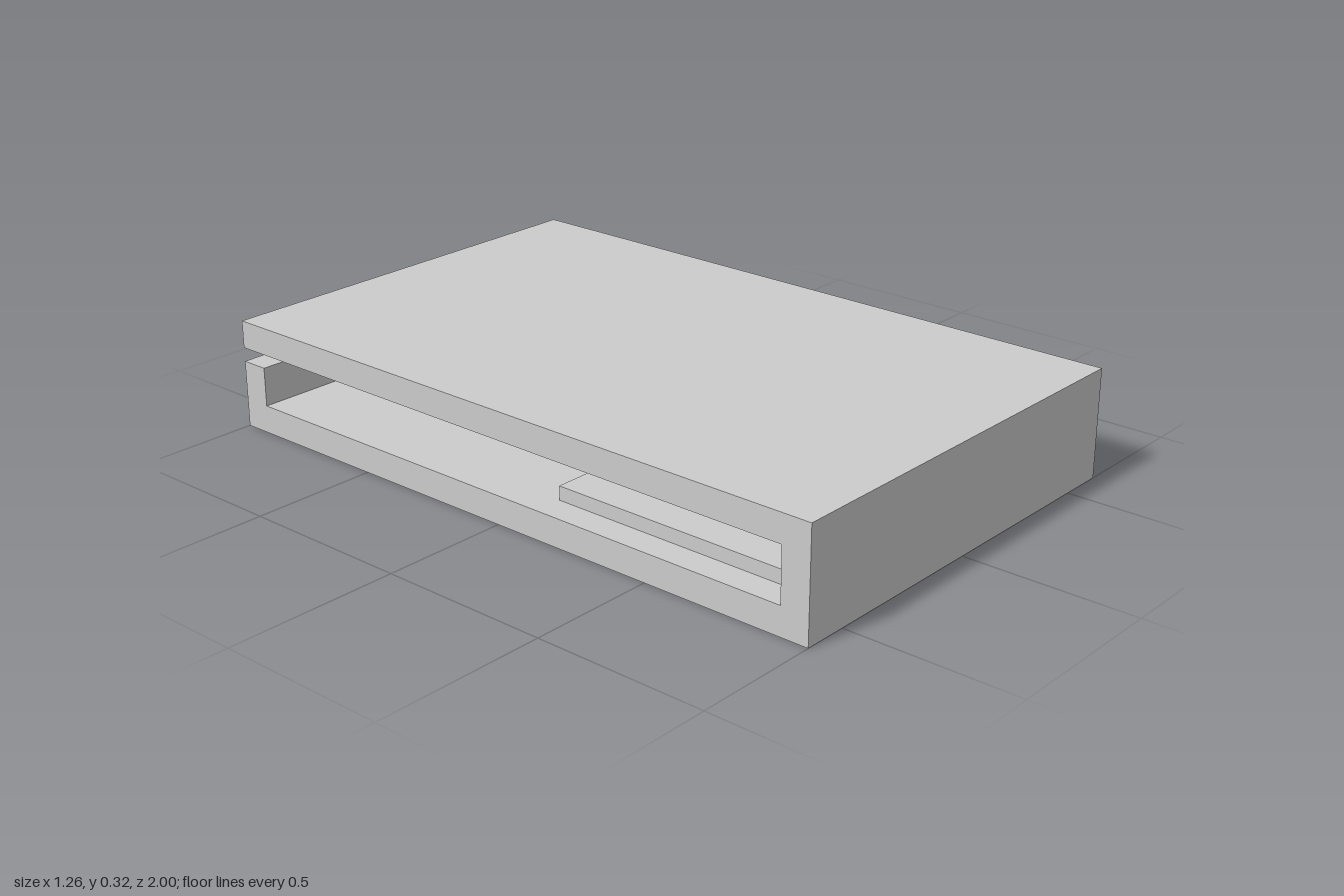
import * as THREE from 'three';

const W = 0.63, D = 1;          // half width, half depth of the case
const IX = 0.547, IZ = 0.917;   // inner faces of the side and end walls
const Y = { floor: 0.082, slot: 0.196, roof: 0.237, top: 0.317 };
const SCREEN = { x: 0.53, z0: 0.155, z1: 0.89 };

const grey = new THREE.MeshStandardMaterial({ color: 0xcccccc });
const glass = new THREE.MeshStandardMaterial({ color: 0xa2dee7 });

// Horizontal layer: [x, z] outline raised from y0 to y1
function layer(name, outline, y0, y1, holes = []) {
  const toPoints = (list) => list.map(([x, z]) => new THREE.Vector2(x, -z));
  const shape = new THREE.Shape(toPoints(outline));
  holes.forEach((h) => shape.holes.push(new THREE.Path(toPoints(h))));
  const geo = new THREE.ExtrudeGeometry(shape, { depth: y1 - y0, bevelEnabled: false });
  geo.rotateX(-Math.PI / 2).translate(0, y0, 0);
  const mesh = new THREE.Mesh(geo, grey);
  mesh.name = name;
  return mesh;
}

const rect = (x0, x1, z0, z1) => [[x0, z0], [x1, z0], [x1, z1], [x0, z1]];

function block(name, x, y0, y1, z0, z1, material) {
  const mesh = new THREE.Mesh(new THREE.BoxGeometry(2 * x, y1 - y0, z1 - z0), material);
  mesh.position.set(0, (y0 + y1) / 2, (z0 + z1) / 2);
  mesh.name = name;
  return mesh;
}

export function createModel() {
  const model = new THREE.Group();
  model.name = 'openSidedCase';
  const { x, z0, z1 } = SCREEN;
  const plate = rect(-W, W, -D, D);

  // Case: floor with window, walls open on the -x side, slot above the back wall, roof
  const body = new THREE.Group();
  body.name = 'caseBody';
  body.add(
    layer('floorPlate', plate, 0, Y.floor, [rect(-x, x, z0, z1)]),
    layer('lowerWalls', [[-W, -D], [W, -D], [W, D], [-W, D], [-W, IZ], [IX, IZ], [IX, -IZ], [-W, -IZ]], Y.floor, Y.slot),
    layer('upperWalls', [[IX, -D], [W, -D], [W, D], [-W, D], [-W, IZ], [IX, IZ]], Y.slot, Y.roof),
    layer('roofPlate', plate, Y.roof, Y.top),
  );
  model.add(body);

  // Screen set into the window, with its wider backing on the cavity floor
  const lip = 0.016;
  model.add(
    block('screenPane', x, 0.042, Y.floor, z0, z1, glass),
    block('screenBacking', x + lip, Y.floor, 0.122, z0 - lip, z1 + lip, grey),
  );
  return model;
}
